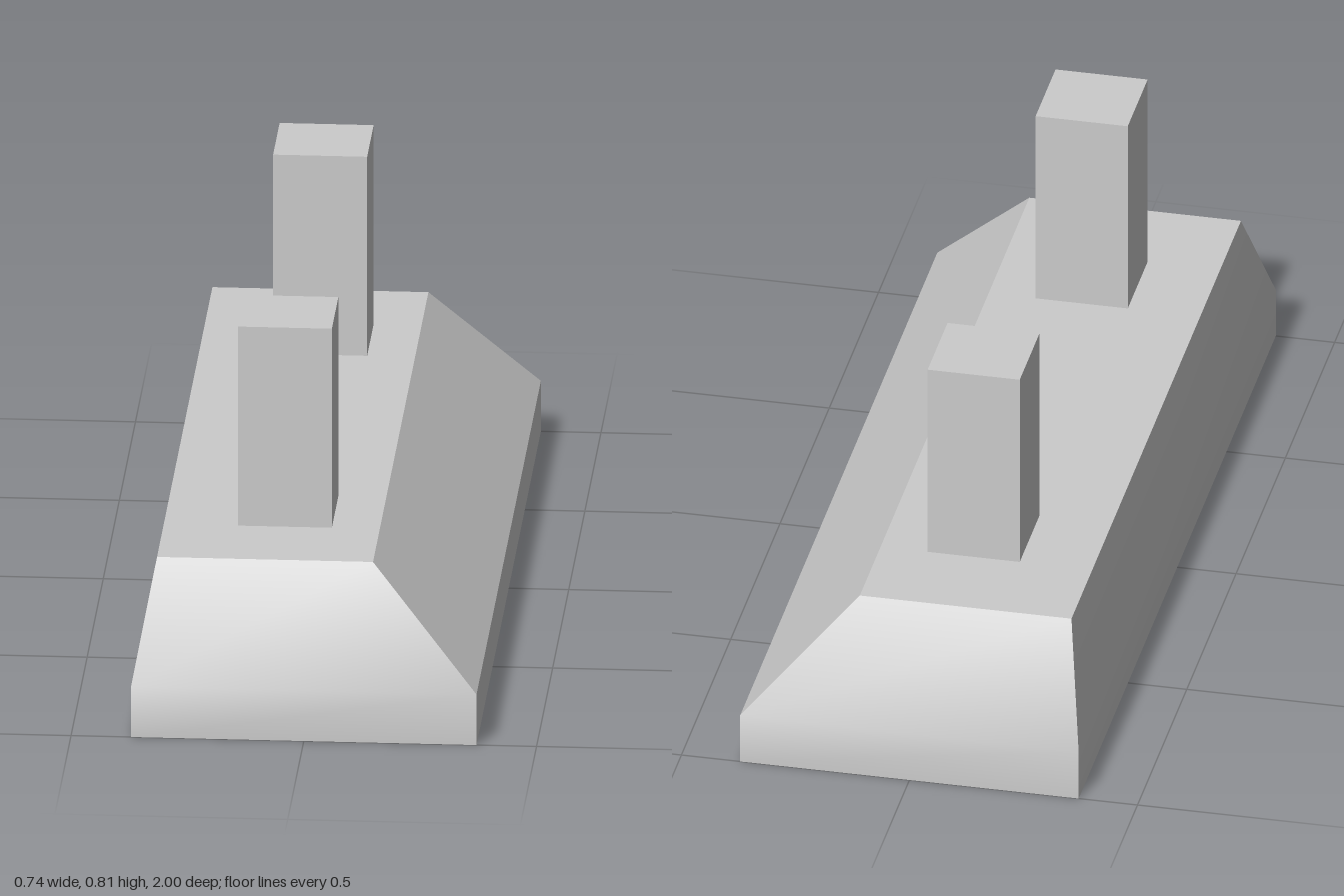
import * as THREE from 'three';
import { toCreasedNormals } from 'three/addons/utils/BufferGeometryUtils.js';

const material = new THREE.MeshStandardMaterial({ color: 0xcccccc });

// Rectangle at height y, counter-clockwise seen from above
function ring(x0, x1, halfZ, y) {
  return [[x1, y, halfZ], [x1, y, -halfZ], [x0, y, -halfZ], [x0, y, halfZ]];
}

// Skin a run of rectangles, capping the first (facing down) and the last (facing up)
function loft(rings) {
  const points = [];
  const quad = (a, b, c, d) => points.push(...a, ...b, ...c, ...a, ...c, ...d);
  for (let r = 0; r < rings.length - 1; r++) {
    const low = rings[r], high = rings[r + 1];
    for (let i = 0; i < 4; i++) {
      const j = (i + 1) % 4;
      quad(low[i], low[j], high[j], high[i]);
    }
  }
  quad(...[...rings[0]].reverse());
  quad(...rings[rings.length - 1]);
  const geometry = new THREE.BufferGeometry();
  geometry.setAttribute('position', new THREE.Float32BufferAttribute(points, 3));
  return toCreasedNormals(geometry, THREE.MathUtils.degToRad(35));
}

export function createModel() {
  const group = new THREE.Group();
  const halfX = 0.371, rim = 0.067, bandTop = 0.115, hoodTop = 0.361, top = 0.814;

  // Hood: recessed underside, flat rim, upright band, sloping sides
  const hood = new THREE.Mesh(loft([
    ring(-halfX + rim, halfX - rim, 1 - rim, 0.102),
    ring(-halfX + rim, halfX - rim, 1 - rim, 0),
    ring(-halfX, halfX, 1, 0),
    ring(-halfX, halfX, 1, bandTop),
    ring(-0.325, 0.139, 0.86, hoodTop),
  ]), material);
  hood.name = 'hood';
  group.add(hood);

  // Two square ducts standing on the hood
  const ductGeometry = new THREE.BoxGeometry(0.202, top - hoodTop, 0.202);
  for (const side of [1, -1]) {
    const duct = new THREE.Mesh(ductGeometry, material);
    duct.name = side > 0 ? 'frontDuct' : 'backDuct';
    duct.position.set(-0.065, (top + hoodTop) / 2, side * 0.548);
    group.add(duct);
  }
  return group;
}
